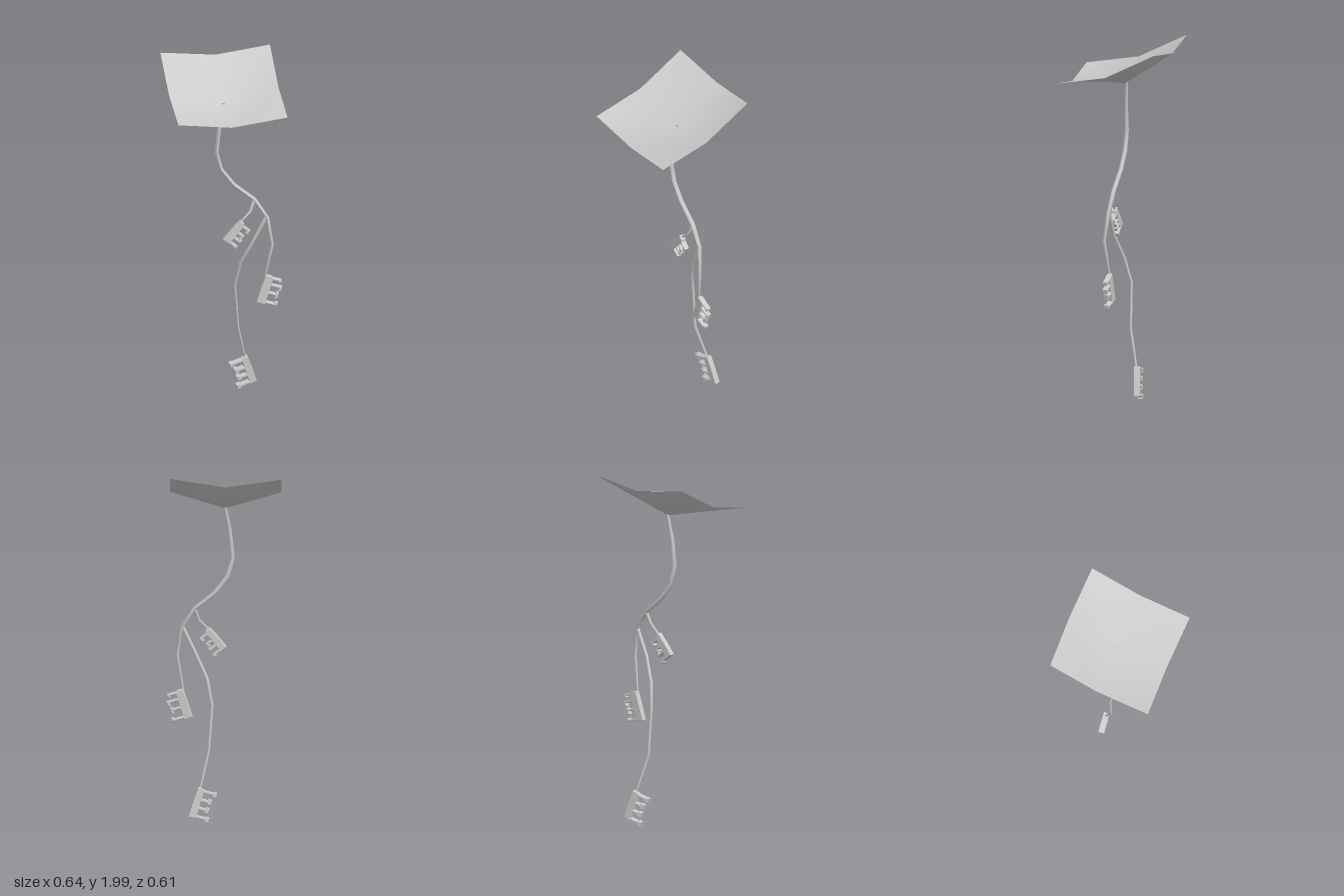
import * as THREE from 'three';

const material = new THREE.MeshStandardMaterial({ color: 0xcccccc, side: THREE.DoubleSide });

function addMesh(group, name, geometry) {
  const mesh = new THREE.Mesh(geometry, material);
  mesh.name = name;
  group.add(mesh);
  return mesh;
}

// Six-sided tapering stalk; each entry is [x, y, z, radius]
function stalk(rows) {
  const points = rows.map(([x, y, z]) => new THREE.Vector3(x, y, z));
  const curve = new THREE.CatmullRomCurve3(points);
  // put one ring exactly at each listed point
  curve.getPointAt = (t, target) => curve.getPoint(t, target);
  curve.getTangentAt = (t, target) => curve.getTangent(t, target);
  const sides = 6;
  const geometry = new THREE.TubeGeometry(curve, rows.length - 1, 1, sides);
  const pos = geometry.attributes.position;
  const v = new THREE.Vector3();
  for (let i = 0; i < pos.count; i++) {
    const ring = Math.floor(i / (sides + 1));
    v.fromBufferAttribute(pos, i).sub(points[ring]).multiplyScalar(rows[ring][3]).add(points[ring]);
    pos.setXYZ(i, v.x, v.y, v.z);
  }
  geometry.computeVertexNormals();
  return geometry;
}

// Comb-shaped pod: a spine hanging down from the origin with hooked teeth on +x.
// Each tooth is [y, reach, hook up, hook down]
function comb({ length, spine, half, tip, depth, teeth }) {
  const outline = [[0, -length], [0, -length * 0.5], [0.004, 0], [spine * 0.75, 0]];
  for (const [y, reach, up, down] of teeth) {
    const inner = reach - tip;
    outline.push([spine, y + half]);
    if (up) outline.push([inner, y + half], [inner, y + half + up]);
    outline.push([reach, y + half + up], [reach, y - half - down]);
    if (down) outline.push([inner, y - half - down], [inner, y - half]);
    outline.push([spine, y - half]);
  }
  outline.push([spine, -length]);
  const shape = new THREE.Shape(outline.map(([x, y]) => new THREE.Vector2(x, y)));
  const bevel = 0.003;
  const geometry = new THREE.ExtrudeGeometry(shape, {
    depth: depth - 2 * bevel, bevelEnabled: true, bevelSize: bevel,
    bevelThickness: bevel, bevelOffset: -bevel, bevelSegments: 1,
  });
  geometry.translate(0, 0, bevel - depth / 2);
  return geometry;
}

export function createModel() {
  const group = new THREE.Group();

  // Folded cap: 3 x 3 points, back row first
  const cap = new THREE.PlaneGeometry(1, 1, 2, 2);
  const capPoints = [
    [-0.325, 1.995, -0.278], [-0.015, 1.955, -0.305], [0.288, 2.0, -0.303],
    [-0.313, 1.855, 0.0], [-0.005, 1.77, -0.035], [0.3, 1.857, -0.02],
    [-0.3, 1.802, 0.302], [0, 1.76, 0.277], [0.311, 1.805, 0.278],
  ];
  capPoints.forEach((p, i) => cap.attributes.position.setXYZ(i, ...p));
  cap.computeVertexNormals();
  addMesh(group, 'cap', cap);

  // Main stem and its two side branches
  addMesh(group, 'stem', stalk([
    [-0.005, 1.778, -0.039, 0.009], [-0.03, 1.64, -0.027, 0.012], [-0.046, 1.49, -0.025, 0.013],
    [-0.02, 1.385, -0.025, 0.013], [0.05, 1.29, -0.025, 0.013], [0.165, 1.195, -0.025, 0.013],
    [0.236, 1.085, -0.02, 0.012], [0.262, 0.93, -0.004, 0.01], [0.225, 0.73, -0.024, 0.005],
  ]));
  addMesh(group, 'upperBranch', stalk([
    [0.165, 1.195, -0.025, 0.013], [0.142, 1.13, -0.012, 0.009], [0.09, 1.075, -0.003, 0.006],
  ]));
  addMesh(group, 'lowerBranch', stalk([
    [0.234, 1.095, -0.02, 0.012], [0.16, 0.945, -0.025, 0.01], [0.095, 0.81, -0.06, 0.01],
    [0.065, 0.665, -0.093, 0.009], [0.083, 0.41, -0.095, 0.008], [0.128, 0.2, -0.145, 0.006],
  ]));

  // Comb pods at the ends of the stalks
  const upperPod = addMesh(group, 'upperPod', comb({
    length: 0.145, spine: 0.042, half: 0.007, tip: 0.014, depth: 0.03,
    teeth: [[-0.02, 0.088, 0, 0.014], [-0.065, 0.08, 0.0, 0.012], [-0.1, 0.088, 0.008, 0],
      [-0.136, 0.09, 0, 0.006]],
  }));
  upperPod.position.set(0.08, 1.088, -0.002);
  upperPod.rotation.z = -0.685;

  const middlePod = addMesh(group, 'middlePod', comb({
    length: 0.168, spine: 0.05, half: 0.006, tip: 0.014, depth: 0.03,
    teeth: [[-0.012, 0.098, 0, 0.008], [-0.05, 0.112, 0, 0.018], [-0.098, 0.105, 0.01, 0.016],
      [-0.155, 0.116, 0.008, 0]],
  }));
  middlePod.position.set(0.225, 0.742, -0.026);
  middlePod.rotation.z = -0.3;

  const lowerPod = addMesh(group, 'lowerPod', comb({
    length: 0.17, spine: 0.042, half: 0.008, tip: 0.022, depth: 0.032,
    teeth: [[-0.013, 0.115, 0.004, 0.008], [-0.062, 0.1, 0.008, 0.008], [-0.11, 0.1, 0.008, 0.008],
      [-0.158, 0.115, 0.006, 0.008]],
  }).rotateY(Math.PI));
  lowerPod.position.set(0.145, 0.212, -0.15);
  lowerPod.rotation.set(0.07, 0.15, 0.31, 'YXZ');

  return group;
}
